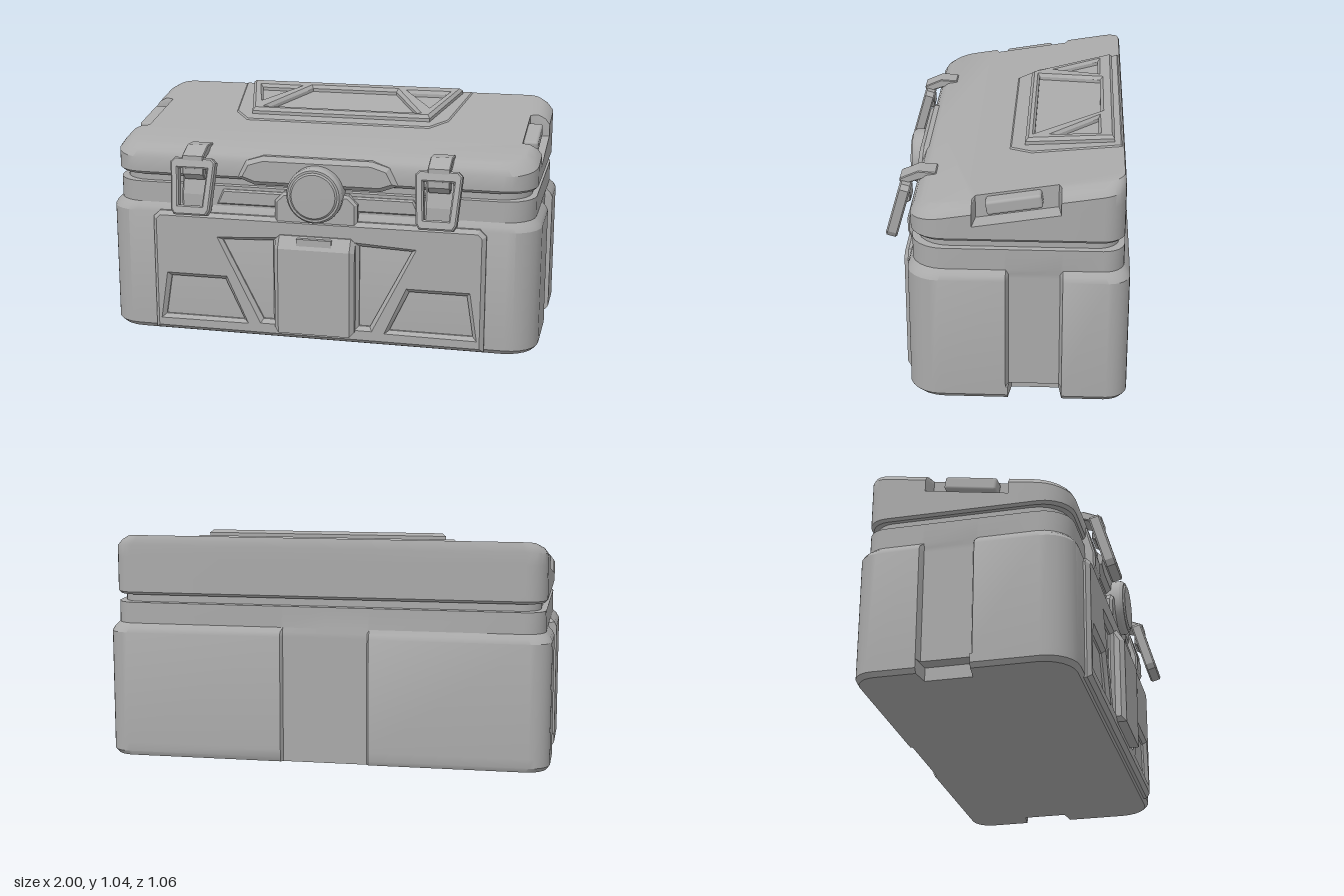
import * as THREE from 'three';
import { toCreasedNormals } from 'three/addons/utils/BufferGeometryUtils.js';
import { RoundedBoxGeometry } from 'three/addons/geometries/RoundedBoxGeometry.js';

const grey = new THREE.MeshStandardMaterial({ color: 0xaaaaaa });
grey.name = 'grey plastic';

// height of the sloping lid top at depth z
const lidTop = (z) => 0.87 + 0.163 * (0.36 - z);

// Outline seen from above: rounded corners, a notch in each side and one in the back
function outline({ hw, zf, zb, rf = 0.14, rb = 0.09, side = [0, -0.25, hw], back = zb }) {
  const half = [[0, zf]];
  const arc = (cx, cz, r, from) => {
    for (let i = 0; i <= 6; i++) {
      const a = from - (i / 6) * Math.PI / 2;
      half.push([cx + r * Math.cos(a), cz + r * Math.sin(a)]);
    }
  };
  arc(hw - rf, zf - rf, rf, Math.PI / 2);
  const [a, b, nx] = side;
  const x = Math.min(hw, nx);
  half.push([hw, a], [x, a - 0.012], [x, b + 0.012], [hw, b]);
  arc(hw - rb, zb + rb, rb, 0);
  const bz = Math.max(zb, back);
  half.push([0.2, zb], [0.19, bz], [0, bz]);
  return half.concat(half.slice(1, -1).reverse().map(([px, pz]) => [-px, pz]));
}

// Skin stacked outlines; each layer's y may be a number or a function of z
function loft(layers, crease = 0.5) {
  const rings = layers.map(({ pts, y }) =>
    pts.map(([x, z]) => [x, typeof y === 'function' ? y(z) : y, z]));
  const out = [], n = rings[0].length;
  const tri = (...v) => v.forEach((p) => out.push(...p));
  for (let k = 0; k < rings.length - 1; k++) {
    const lo = rings[k], hi = rings[k + 1];
    for (let i = 0; i < n; i++) {
      const j = (i + 1) % n;
      tri(lo[i], lo[j], hi[j]);
      tri(lo[i], hi[j], hi[i]);
    }
  }
  const cap = (ring, up) => {
    const flat = ring.map((p) => new THREE.Vector2(p[0], -p[2]));
    for (const [a, b, c] of THREE.ShapeUtils.triangulateShape(flat, [])) {
      if (up) tri(ring[a], ring[b], ring[c]); else tri(ring[a], ring[c], ring[b]);
    }
  };
  cap(rings[0], false);
  cap(rings[rings.length - 1], true);
  const g = new THREE.BufferGeometry();
  g.setAttribute('position', new THREE.Float32BufferAttribute(out, 3));
  return toCreasedNormals(g, crease);
}

const toShape = (pts) => new THREE.Shape(pts.map(([x, y]) => new THREE.Vector2(x, y)));

// Extruded plate whose front face lies at the given depth, with a chamfered rim
function plate(pts, holes, depth, bevel) {
  const s = toShape(pts);
  s.holes = holes.map(toShape);
  return new THREE.ExtrudeGeometry(s, {
    depth: depth - bevel, bevelEnabled: bevel > 0, bevelSize: bevel,
    bevelThickness: bevel, bevelOffset: -bevel, bevelSegments: 1,
  });
}

// Side profile of [z, y] points extruded across x, centred on x = 0
function across(pts, width, bevel = 0.008) {
  const g = plate(pts.map(([z, y]) => [-z, y]), [], width - bevel, bevel);
  g.translate(0, 0, -(width - 2 * bevel) / 2);
  return g.rotateY(Math.PI / 2);
}

const mirror = (pts) => pts.map(([x, y]) => [-x, y]).reverse();

export function createModel() {
  const model = new THREE.Group();
  model.name = 'hard case';
  const add = (name, geometry, x = 0, y = 0, z = 0, parent = model) => {
    const m = new THREE.Mesh(geometry, grey);
    m.name = name;
    m.position.set(x, y, z);
    parent.add(m);
    return m;
  };

  // Lower tub with recessed sides and back, feet cut-outs and a neck groove
  const wall = { hw: 1, zf: 0.41, zb: -0.53, back: -0.51 };
  const foot = { ...wall, side: [-0.02, -0.25, 0.9] };
  const body = { ...wall, side: [-0.01, -0.25, 0.965] };
  const rim = { hw: 0.97, zf: 0.39, zb: -0.505 };
  const neck = { hw: 0.945, zf: 0.365, zb: -0.48 };
  add('tub', loft([
    [{ ...foot, hw: 0.985, zf: 0.395, zb: -0.52 }, 0], [foot, 0.02], [foot, 0.06],
    [body, 0.06], [body, 0.57], [{ ...body, hw: 0.99, zf: 0.402, zb: -0.52 }, 0.59],
    [rim, 0.61], [rim, 0.705], [neck, 0.707], [neck, 0.75],
  ].map(([o, y]) => ({ pts: outline(o), y }))));

  // Sloping lid with hand notches in both sides
  const lid = { hw: 0.975, zf: 0.395, zb: -0.505 };
  const full = [0.13, -0.24, 0.975], cut = [0.13, -0.24, 0.885];
  add('lid', loft([
    [{ ...lid, hw: 0.965, zf: 0.385, zb: -0.495, side: full }, 0.74],
    [{ ...lid, side: full }, 0.752],
    [{ ...lid, side: full }, (z) => lidTop(z) - 0.1],
    [{ ...lid, side: cut }, (z) => lidTop(z) - 0.1],
    [{ ...lid, side: cut }, (z) => lidTop(z) - 0.045],
    [{ ...lid, hw: 0.955, zf: 0.38, zb: -0.503, side: cut }, (z) => lidTop(z) - 0.018],
    [{ ...lid, hw: 0.92, zf: 0.35, zb: -0.498, rf: 0.11, rb: 0.07, side: cut }, lidTop],
  ].map(([o, y]) => ({ pts: outline(o), y })), 0.6));

  // Raised carry frame on the lid: a low pedestal and a frame with three pockets
  const overLid = (g, lift) => {
    g.rotateX(-Math.PI / 2);
    const p = g.attributes.position;
    for (let i = 0; i < p.count; i++) p.setY(i, p.getY(i) + lidTop(p.getZ(i)) + lift);
    g.computeVertexNormals();
    return g;
  };
  const pedestal = [[-0.44, 0], [0.44, 0], [0.52, 0.1], [0.58, 0.495], [-0.58, 0.495], [-0.52, 0.1]];
  add('framePedestal', overLid(plate(pedestal, [], 0.02, 0.01), -0.014));
  const frame = [[-0.43, 0.07], [0.43, 0.07], [0.53, 0.46], [-0.53, 0.46]];
  const triangle = [[0.275, 0.39], [0.465, 0.39], [0.41, 0.19]];
  const window = [[-0.21, 0.4], [0.21, 0.4], [0.37, 0.11], [-0.37, 0.11]];
  add('carryFrame', overLid(plate(frame, [window, triangle, mirror(triangle)], 0.05, 0.014), -0.015));

  // Grips in the lid's side notches
  for (const s of [1, -1]) {
    const grip = add('sideGrip', new RoundedBoxGeometry(0.07, 0.06, 0.235, 2, 0.012), s * 0.915, 0.897, -0.045);
    grip.rotation.x = 0.165;
  }

  // Front panel with pockets that leave slanted ribs
  const inner = [[0.2, 0.47], [0.44, 0.46], [0.25, 0.09], [0.2, 0.09]];
  const outer = [[0.43, 0.27], [0.69, 0.27], [0.72, 0.08], [0.34, 0.08]];
  add('frontPanel', plate(
    [[-0.77, 0.01], [0.77, 0.01], [0.77, 0.55], [0.74, 0.58], [-0.74, 0.58], [-0.77, 0.55]],
    [inner, outer, mirror(inner), mirror(outer)], 0.065, 0.018), 0, 0, 0.372);

  // Central lock column, its tab, backing plates and round knob
  add('lockColumn', across([[0.38, 0.05], [0.48, 0.05], [0.48, 0.45], [0.445, 0.505], [0.38, 0.505]], 0.37, 0.02));
  add('lockTab', new THREE.BoxGeometry(0.16, 0.035, 0.05), 0, 0.48, 0.445);
  add('lockBacking', plate([[-0.19, 0.49], [0.19, 0.49], [0.19, 0.66], [0.15, 0.7], [-0.15, 0.7], [-0.19, 0.66]],
    [], 0.06, 0.012), 0, 0, 0.372);
  add('rimStrip', plate([[-0.47, 0.62], [0.47, 0.62], [0.44, 0.69], [-0.44, 0.69]], [], 0.03, 0.008), 0, 0, 0.372);
  add('lidBacking', plate(
    [[-0.37, 0.75], [-0.29, 0.72], [0.29, 0.72], [0.37, 0.75], [0.33, 0.83], [0.25, 0.855], [-0.25, 0.855], [-0.33, 0.83]],
    [], 0.055, 0.02), 0, 0, 0.36);
  const knobProfile = [[0.128, 0], [0.128, 0.07], [0.118, 0.085], [0.108, 0.085], [0.1, 0.092], [0, 0.094]];
  const knob = new THREE.LatheGeometry(knobProfile.map(([r, h]) => new THREE.Vector2(r, h)), 40);
  add('knob', toCreasedNormals(knob.rotateX(Math.PI / 2), 0.4), 0, 0.7, 0.385);

  // Two draw latches: hook over the lid, tilted loop and keeper on the tub
  const hook = [[0.3, 0.87], [0.31, 0.885], [0.385, 0.89], [0.465, 0.855], [0.465, 0.77], [0.435, 0.74],
    [0.42, 0.75], [0.425, 0.835], [0.38, 0.85]];
  const loop = [[-0.075, -0.26], [0.075, -0.26], [0.09, -0.235], [0.105, -0.02], [0.085, 0], [-0.085, 0],
    [-0.105, -0.02], [-0.09, -0.235]];
  const gap = [[-0.055, -0.215], [0.055, -0.215], [0.068, -0.05], [-0.068, -0.05]];
  for (const s of [1, -1]) {
    const latch = new THREE.Group();
    latch.name = s > 0 ? 'leftLatch' : 'rightLatch';
    latch.position.x = s * 0.56;
    model.add(latch);
    add('latchHook', across(hook, 0.1, 0.004), 0, 0, 0, latch);
    const bail = add('latchLoop', plate(loop, [gap], 0.045, 0.007), 0, 0.835, 0.418, latch);
    bail.rotation.x = -0.28;
    add('latchKeeper', across([[0.36, 0.58], [0.42, 0.58], [0.435, 0.61], [0.435, 0.67], [0.4, 0.8], [0.36, 0.8]], 0.13),
      0, 0, 0, latch);
  }
  return model;
}
